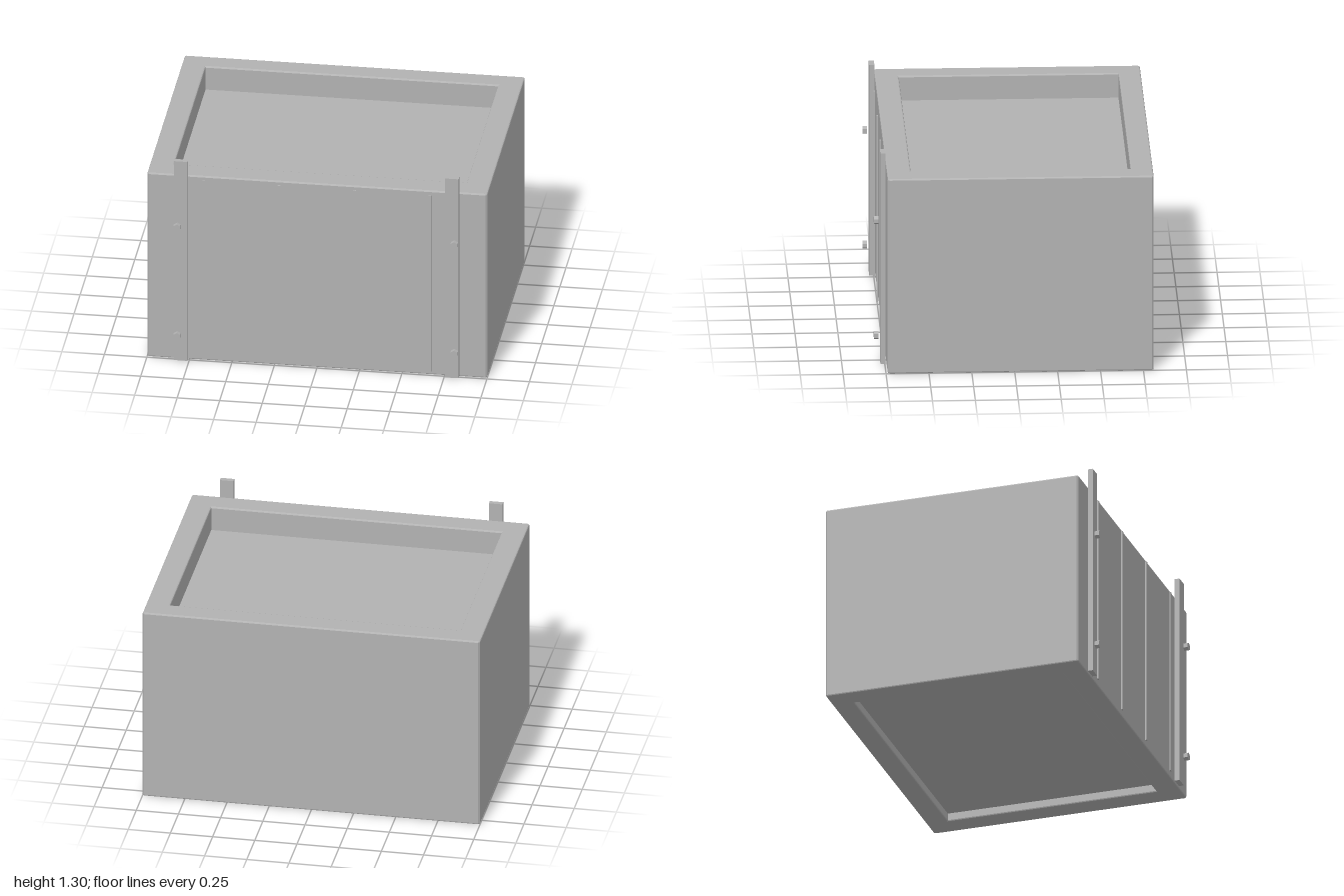
import * as THREE from 'three';

export function createModel() {
  const model = new THREE.Group();
  const grey = new THREE.MeshStandardMaterial({ color: 0xb2b2b2 });
  grey.name = 'plain grey';

  const add = (name, geometry, x = 0, y = 0, z = 0) => {
    const mesh = new THREE.Mesh(geometry, grey);
    mesh.name = name;
    mesh.position.set(x, y, z);
    model.add(mesh);
    return mesh;
  };

  const rectangle = (target, x0, y0, x1, y1, c) => {
    target.moveTo(x0 + c, y0);
    target.lineTo(x1 - c, y0);
    if (c) target.lineTo(x1, y0 + c);
    target.lineTo(x1, y1 - c);
    if (c) target.lineTo(x1 - c, y1);
    target.lineTo(x0 + c, y1);
    if (c) target.lineTo(x0, y1 - c);
    target.lineTo(x0, y0 + c);
    target.closePath();
    return target;
  };

  // Thick outer walls with softened edges, open at top and bottom
  const height = 1.195, bevel = 0.008;
  const outline = rectangle(new THREE.Shape(), -1, -0.74, 1, 0.81, 0.01);
  outline.holes.push(rectangle(new THREE.Path(), -0.86, -0.6, 0.86, 0.68, 0));
  const walls = new THREE.ExtrudeGeometry(outline, {
    depth: height - 2 * bevel, bevelEnabled: true, bevelThickness: bevel,
    bevelSize: bevel, bevelOffset: -bevel, bevelSegments: 2,
  });
  walls.rotateX(-Math.PI / 2);
  add('outerWalls', walls, 0, bevel, 0);

  // Core block, recessed deeply on top and slightly underneath
  add('innerCore', new THREE.BoxGeometry(1.722, 0.995, 1.282), 0, 0.5475, -0.04);

  // Thin upright strips across the front
  for (const x of [-0.665, -0.222, 0.222, 0.665]) {
    add('frontStrip', new THREE.BoxGeometry(0.016, 1.145, 0.009), x, 0.6, 0.751);
  }

  // Tall straps and their hexagonal bolts, mirrored left and right
  for (const side of [-1, 1]) {
    add('frontStrap', new THREE.BoxGeometry(0.08, 1.294, 0.03), side * 0.797, 0.653, 0.761);
    for (const y of [0.177, 0.883]) {
      const bolt = new THREE.CylinderGeometry(0.024, 0.024, 0.027, 6).toNonIndexed();
      bolt.computeVertexNormals();
      bolt.rotateX(Math.PI / 2);
      add('strapBolt', bolt, side * 0.815, y, 0.8);
    }
  }
  return model;
}
